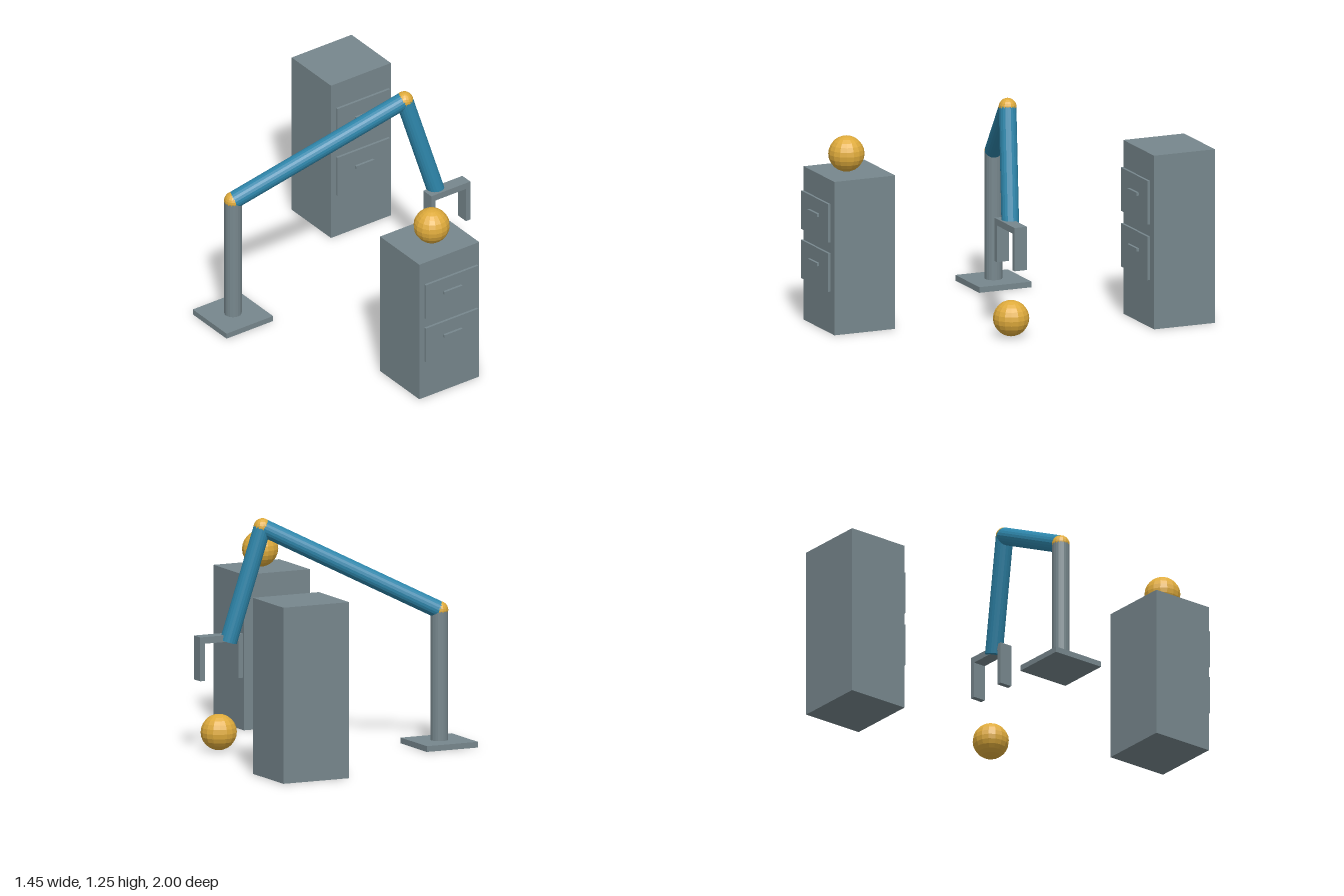
import * as THREE from 'three';

const paint = (name, color) => {
  const m = new THREE.MeshStandardMaterial({ color, flatShading: true });
  m.name = name;
  return m;
};

export function createModel() {
  const grey = paint('steelGrey', 0x77878d);
  const blue = paint('armBlue', 0x2e86ab);
  const amber = paint('amber', 0xdfab3c);
  const model = new THREE.Group();
  model.name = 'robotArmScene';

  const add = (parent, name, geometry, material, x, y, z) => {
    const mesh = new THREE.Mesh(geometry, material);
    mesh.name = name;
    mesh.position.set(x, y, z);
    parent.add(mesh);
    return mesh;
  };
  const box = (parent, name, w, h, d, x, y, z) =>
    add(parent, name, new THREE.BoxGeometry(w, h, d), grey, x, y, z);
  const ball = (parent, name, r, p) =>
    add(parent, name, new THREE.SphereGeometry(r, 16, 12), amber, p.x, p.y, p.z);
  const group = (name) => {
    const g = new THREE.Group();
    g.name = name;
    model.add(g);
    return g;
  };

  // Cylinder running between two points
  const rod = (parent, name, a, b, r, material) => {
    const dir = b.clone().sub(a);
    const mid = a.clone().add(b).multiplyScalar(0.5);
    const mesh = add(parent, name, new THREE.CylinderGeometry(r, r, dir.length(), 20),
      material, mid.x, mid.y, mid.z);
    mesh.quaternion.setFromUnitVectors(new THREE.Vector3(0, 1, 0), dir.normalize());
  };

  // Cabinets: body plus two floating drawer fronts with bar handles
  const cabinet = (name, x, front, h) => {
    const g = group(name);
    g.position.set(x, 0, front);
    box(g, 'cabinetBody', 0.394, h, 0.356, 0, h / 2, -0.178);
    for (const level of [0.405, 0.726]) {
      box(g, 'drawerFront', 0.345, 0.25 * h, 0.014, 0, level * h, 0.019);
      box(g, 'drawerHandle', 0.118, 0.017, 0.016, 0, (level + 0.024) * h, 0.032);
    }
  };
  cabinet('frontCabinet', -0.06, 0.96, 0.84);
  cabinet('rearCabinet', 0.524, -0.644, 0.951);

  // Balls: one on the front cabinet, one on the floor under the gripper
  ball(model, 'cabinetBall', 0.097, new THREE.Vector3(-0.06, 0.937, 0.8));
  ball(model, 'floorBall', 0.097, new THREE.Vector3(0.54, 0.098, 0.11));

  // Robot arm
  const arm = group('robotArm');
  const foot = new THREE.Vector3(-0.572, 0.03, -0.295);
  const shoulder = new THREE.Vector3(-0.572, 0.732, -0.295);
  const elbow = new THREE.Vector3(0.32, 1.199, 0.03);
  const wrist = new THREE.Vector3(0.491, 0.585, 0.092);
  box(arm, 'basePlate', 0.306, 0.031, 0.306, foot.x, 0.0155, foot.z);
  rod(arm, 'post', foot, shoulder, 0.047, grey);
  rod(arm, 'upperArm', shoulder, elbow, 0.047, blue);
  rod(arm, 'forearm', elbow, wrist, 0.047, blue);
  ball(arm, 'shoulderJoint', 0.048, shoulder);
  ball(arm, 'elbowJoint', 0.048, elbow);

  // Gripper: crossbar with a finger at each end
  const gripper = group('gripper');
  gripper.position.set(0.54, 0, 0.112);
  box(gripper, 'gripperBar', 0.257, 0.036, 0.072, 0, 0.605, 0);
  for (const side of [-1, 1])
    box(gripper, 'gripperFinger', 0.029, 0.202, 0.072, side * 0.114, 0.487, 0);

  return model;
}
